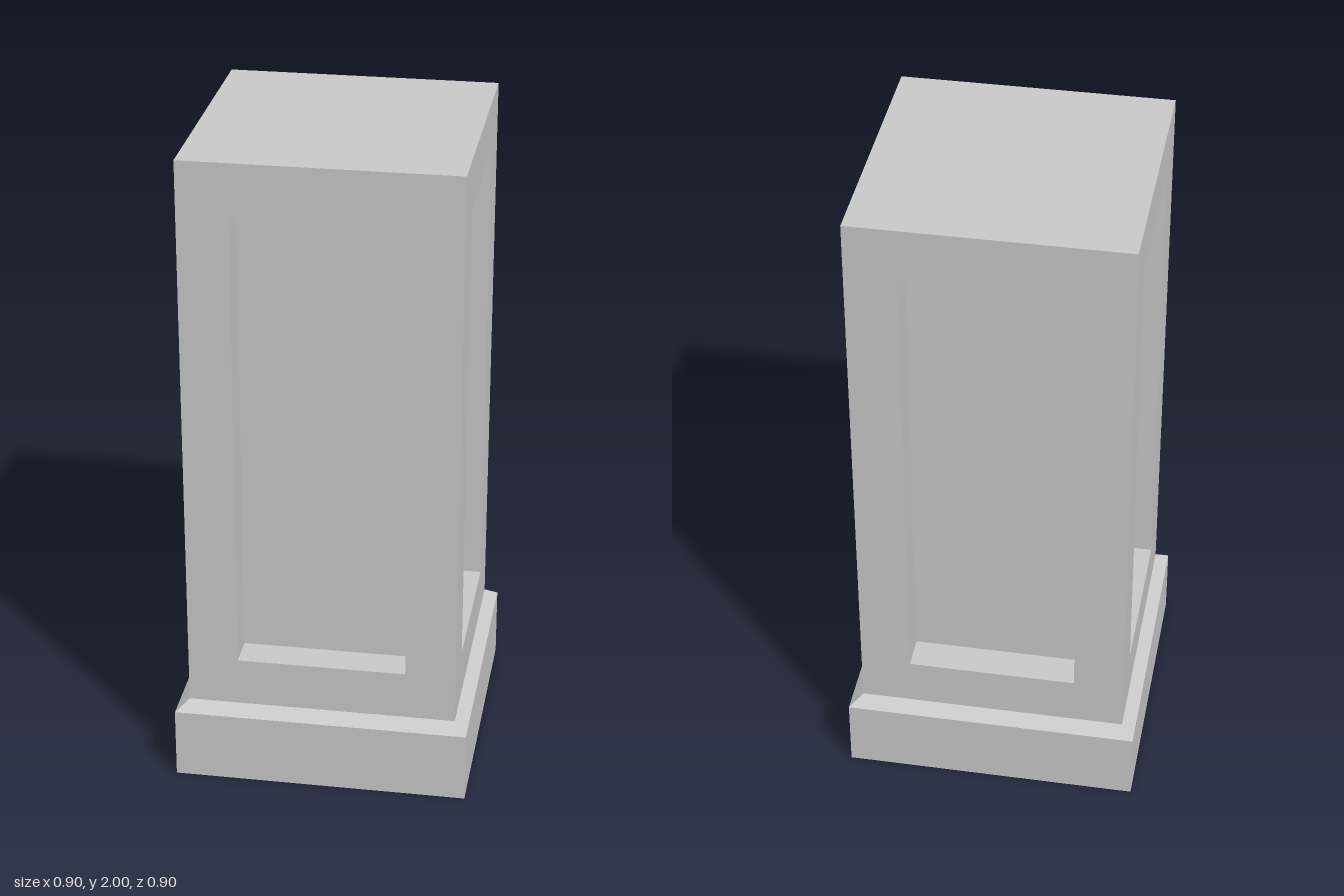
import * as THREE from 'three';

const SHAFT = 0.41, PLINTH = 0.449, PLINTH_TOP = 0.25, HEIGHT = 2;

// Rectangle at depth z, counter-clockwise as seen from +z
const rect = (halfWidth, bottom, top, z) => [
  [-halfWidth, bottom, z], [halfWidth, bottom, z], [halfWidth, top, z], [-halfWidth, top, z],
];

// Joins rectangles with flat faces and closes the last one, facing +z
function loft(rings) {
  const points = [];
  const quad = (a, b, c, d) => points.push(...a, ...b, ...c, ...a, ...c, ...d);
  for (let r = 0; r < rings.length - 1; r++) {
    for (let i = 0; i < 4; i++) {
      const j = (i + 1) % 4;
      quad(rings[r][i], rings[r][j], rings[r + 1][j], rings[r + 1][i]);
    }
  }
  quad(...rings[rings.length - 1]);
  const geometry = new THREE.BufferGeometry();
  geometry.setAttribute('position', new THREE.Float32BufferAttribute(points, 3));
  geometry.computeVertexNormals();
  return geometry;
}

export function createModel() {
  const pedestal = new THREE.Group();
  pedestal.name = 'pedestal';
  const material = new THREE.MeshStandardMaterial({ color: 0xcccccc, flatShading: true });
  const add = (name, geometry) => {
    const mesh = new THREE.Mesh(geometry, material);
    mesh.name = name;
    pedestal.add(mesh);
    return mesh;
  };

  // Plinth with chamfered upper edge, closed underneath
  const square = (half, y) => rect(half, -half, half, -y);
  add('plinth', loft([square(SHAFT, PLINTH_TOP), square(PLINTH, 0.22), square(PLINTH, 0)])
    .rotateX(Math.PI / 2));

  // Four shaft sides, each with a recessed panel
  const side = loft([
    rect(SHAFT, PLINTH_TOP, HEIGHT, SHAFT),
    rect(0.257, 0.4, 1.845, SHAFT),
    rect(0.257, 0.4, 1.845, SHAFT - 0.105),
  ]);
  ['frontSide', 'leftSide', 'backSide', 'rightSide'].forEach((name, i) => {
    add(name, side).rotation.y = i * Math.PI / 2;
  });

  // Flat top
  add('top', new THREE.PlaneGeometry(2 * SHAFT, 2 * SHAFT).rotateX(-Math.PI / 2))
    .position.y = HEIGHT;

  return pedestal;
}
